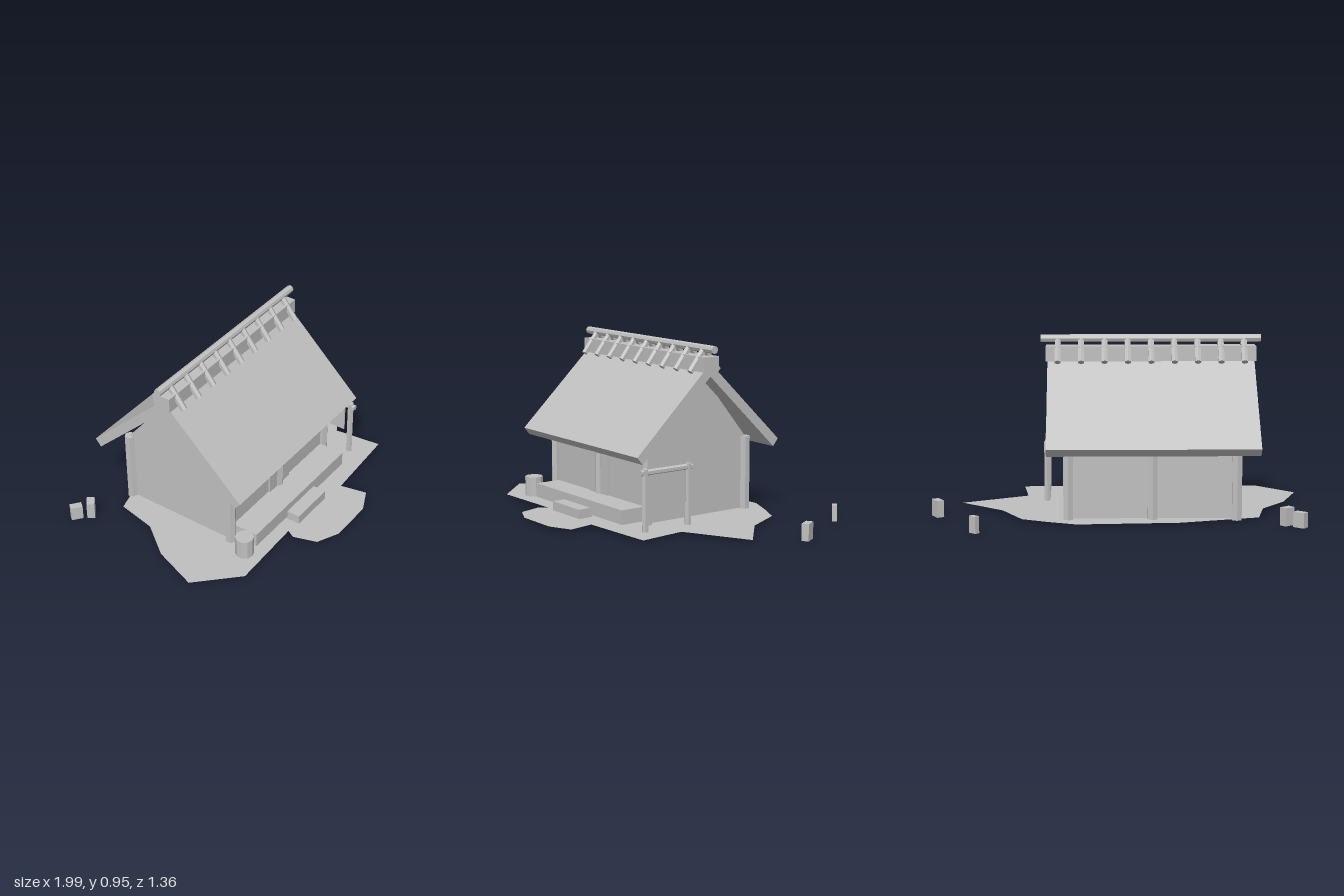
import * as THREE from 'three';

const grey = new THREE.MeshStandardMaterial({ color: 0xc0c0c0, flatShading: true, side: THREE.DoubleSide });
grey.name = 'plain grey';

const MID_X = -0.172, RIDGE_Z = -0.095;

export function createModel() {
  const model = new THREE.Group();
  model.name = 'farmhouse';

  const add = (name, geometry) => {
    const mesh = new THREE.Mesh(geometry, grey);
    mesh.name = name;
    model.add(mesh);
    return mesh;
  };

  // Box given by its lower and upper corners
  const box = (name, [x0, y0, z0], [x1, y1, z1]) =>
    add(name, new THREE.BoxGeometry(x1 - x0, y1 - y0, z1 - z0))
      .position.set((x0 + x1) / 2, (y0 + y1) / 2, (z0 + z1) / 2);

  // Straight round timber between two points
  const pole = (name, from, to, radius, sides = 6) => {
    const a = new THREE.Vector3(...from), b = new THREE.Vector3(...to);
    const mesh = add(name, new THREE.CylinderGeometry(radius, radius, a.distanceTo(b), sides));
    mesh.position.copy(a).add(b).multiplyScalar(0.5);
    mesh.quaternion.setFromUnitVectors(new THREE.Vector3(0, 1, 0), b.sub(a).normalize());
    return mesh;
  };

  // Cross-section of (z, y) points swept along x
  const sweep = (name, points, x0, x1) => {
    const shape = new THREE.Shape(points.map(([z, y]) => new THREE.Vector2(-z, y)));
    const geometry = new THREE.ExtrudeGeometry(shape, { depth: x1 - x0, bevelEnabled: false });
    geometry.rotateY(Math.PI / 2).translate(x0, 0, 0);
    return add(name, geometry);
  };

  // Irregular yard with a path stub at the front
  const yard = [
    [-0.73, -0.4], [-0.775, -0.18], [-0.91, 0], [-1, 0.25], [-0.795, 0.457], [-0.38, 0.445],
    [-0.405, 0.49], [-0.365, 0.617], [-0.245, 0.675], [0, 0.675], [0.125, 0.617], [0.095, 0.473],
    [0.53, 0.45], [0.5, 0.185], [0.85, 0], [0.62, -0.205], [0.51, -0.42], [0.38, -0.485],
    [0.225, -0.55], [-0.307, -0.52],
  ];
  const yardShape = new THREE.Shape(yard.map(([x, z]) => new THREE.Vector2(x, -z)));
  add('ground', new THREE.ShapeGeometry(yardShape).rotateX(-Math.PI / 2)).position.y = 0.016;

  // House body with pointed gables
  sweep('walls', [[0.235, 0.02], [0.235, 0.42], [RIDGE_Z, 0.82], [-0.425, 0.42], [-0.425, 0.02]], -0.61, 0.268);

  // Wall posts, front and back
  for (const x of [-0.61, -0.171, 0.268]) {
    for (const z of [0.235, -0.425]) pole('wallPost', [x, 0.01, z], [x, 0.42, z], 0.029);
  }

  // Door, veranda and step
  box('door', [-0.264, 0.1, 0.23], [-0.083, 0.33, 0.245]);
  box('veranda', [-0.587, 0.03, 0.235], [0.245, 0.108, 0.383]);
  box('step', [-0.3, 0.016, 0.375], [-0.045, 0.067, 0.458]);

  // Thick roof with both slopes in one section
  sweep('roof', [
    [0.377, 0.406], [RIDGE_Z, 0.856], [-0.567, 0.406],
    [-0.534, 0.366], [RIDGE_Z, 0.785], [0.344, 0.366],
  ], -0.723, 0.379);

  // Ridge cap, ridge pole and crossed weights
  box('ridgeCap', [-0.732, 0.81, -0.145], [0.388, 0.89, -0.045]);
  pole('ridgePole', [-0.76, 0.929, RIDGE_Z], [0.415, 0.929, RIDGE_Z], 0.021, 8);
  for (let i = -4; i <= 4; i++) {
    const x = MID_X + i * 0.124;
    for (const s of [1, -1]) {
      pole('ridgeRod', [x, 0.81, RIDGE_Z + s * 0.093], [x, 0.938, RIDGE_Z - s * 0.007], 0.018);
    }
  }

  // Drying rack with a hanging cloth beside the gable
  for (const z of [0.337, 0.059]) pole('rackPost', [0.39, 0.01, z], [0.39, 0.345, z], 0.018);
  pole('rackRail', [0.39, 0.326, 0.035], [0.39, 0.326, 0.366], 0.016);
  box('rackCloth', [0.386, 0.15, 0.099], [0.394, 0.326, 0.301]);

  // Barrel
  const barrel = add('barrel', new THREE.CylinderGeometry(0.05, 0.05, 0.11, 10));
  barrel.position.set(-0.658, 0.08, 0.357);

  // Loose stones: x, z, length, width, height, turn
  const stones = [
    [-0.925, -0.563, 0.064, 0.04, 0.08, -0.67],
    [-0.863, -0.513, 0.063, 0.042, 0.095, 0.66],
    [0.739, -0.662, 0.046, 0.027, 0.088, -0.75],
    [0.96, -0.268, 0.07, 0.039, 0.09, -1.06],
  ];
  for (const [x, z, length, width, height, turn] of stones) {
    const stone = add('stone', new THREE.BoxGeometry(length, height, width));
    stone.position.set(x, height / 2, z);
    stone.rotation.y = turn;
  }

  return model;
}
